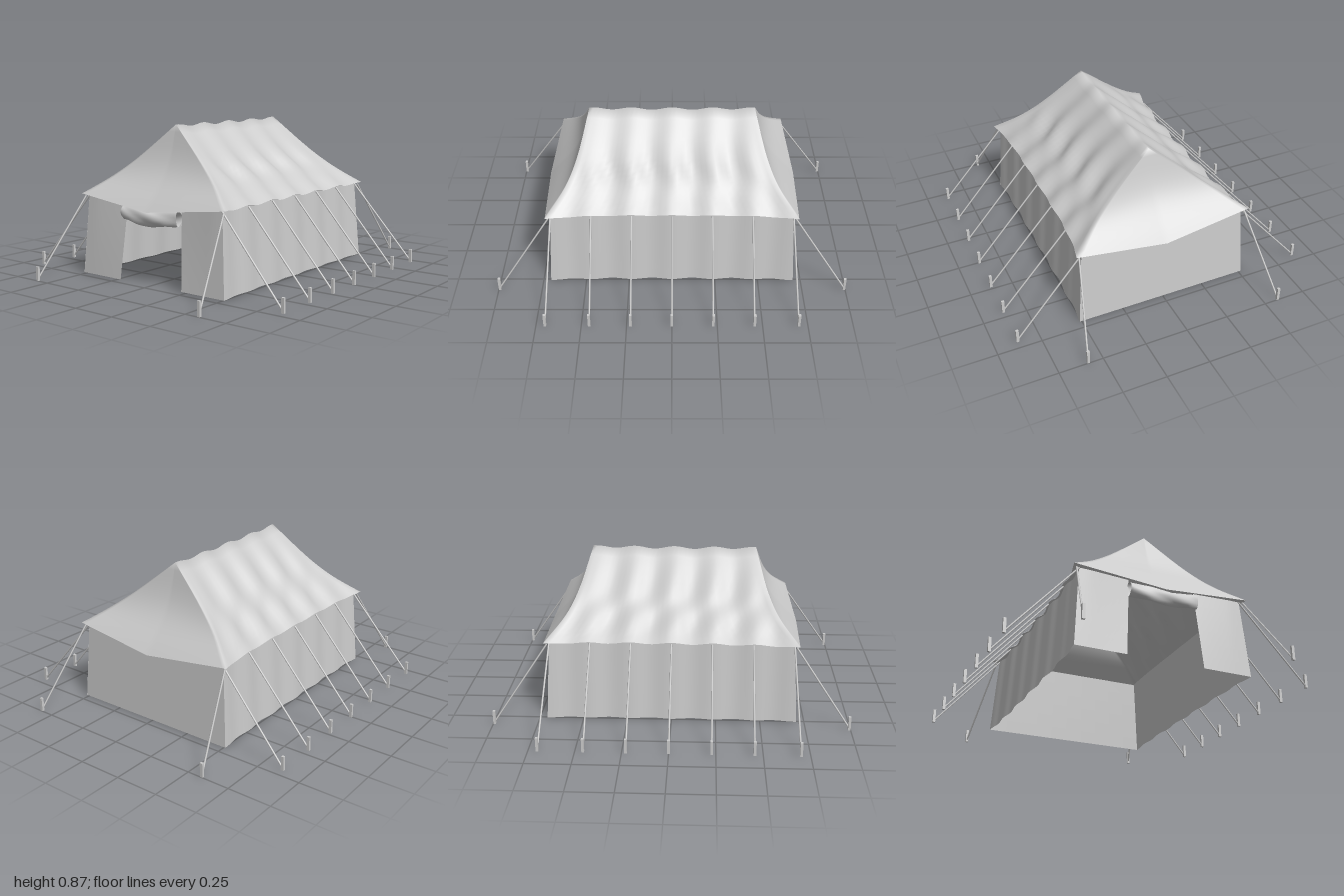
import * as THREE from 'three';
import { mergeVertices } from 'three/addons/utils/BufferGeometryUtils.js';

const canvas = new THREE.MeshStandardMaterial({ color: 0xcccccc, side: THREE.DoubleSide });
const solid = new THREE.MeshStandardMaterial({ color: 0xcccccc });
const PITCH = 0.7 / 3; // spacing of the guy ropes

// 0 at each rope, 1 halfway between two ropes
const sag = (z) => (1 - Math.cos((2 * Math.PI * z) / PITCH)) / 2;

// Smooth cloth from a rule f(u, v) -> [x, y, z]
function sheet(name, nu, nv, f) {
  const pos = [], index = [];
  for (let j = 0; j <= nv; j++)
    for (let i = 0; i <= nu; i++) pos.push(...f(i / nu, j / nv));
  for (let j = 0; j < nv; j++)
    for (let i = 0; i < nu; i++) {
      const a = j * (nu + 1) + i, b = a + 1, c = a + nu + 1, d = c + 1;
      index.push(a, c, b, b, c, d);
    }
  let geo = new THREE.BufferGeometry();
  geo.setAttribute('position', new THREE.Float32BufferAttribute(pos, 3));
  geo.setIndex(index);
  geo = mergeVertices(geo, 1e-4);
  geo.computeVertexNormals();
  const mesh = new THREE.Mesh(geo, canvas);
  mesh.name = name;
  return mesh;
}

// Hipped roof: rectangular rings growing from the ridge line down to the eaves
function makeRoof() {
  // each point holds half width, height and half length of a ring
  const profile = new THREE.CatmullRomCurve3([
    new THREE.Vector3(0, 0.872, 0.475),
    new THREE.Vector3(0.235, 0.675, 0.54),
    new THREE.Vector3(0.36, 0.572, 0.6),
    new THREE.Vector3(0.483, 0.467, 0.705),
  ]);
  return sheet('roof', 160, 15, (u, v) => {
    const { x: X, y: Y, z: Z } = profile.getPoint(v);
    const part = Math.min(Math.floor(u * 4), 3);
    const t = 1 - 2 * (u * 4 - part); // 1 to -1 along the current edge
    const flare = 0.036 * v ** 3;
    const belly = Math.sin(Math.PI * v);
    if (part % 2 === 0) { // long slopes
      const side = part === 0 ? 1 : -1;
      const z = side * t * Z;
      const fade = 1 - t ** 6;
      const s = sag(z) * fade;
      const fold = belly * fade * (0.008 * s + 0.01 * Math.sin(13 * z + 5 * v + side) ** 2);
      const x = X + flare * t ** 4 - 0.013 * v * s - fold;
      return [side * x, Y - 0.016 * s - fold * 0.7, z];
    }
    // hip ends, drooping towards the middle of the eave
    const end = part === 1 ? -1 : 1;
    const middle = 1 - Math.abs(t);
    return [
      -end * t * (X + flare),
      Y - 0.056 * middle * v ** 4,
      end * (Z + 0.027 * middle * v ** 3 - 0.012 * belly * middle),
    ];
  });
}

// Long wall with shallow scallops between the ropes
const sideWall = (side) =>
  sheet('sideWall', 60, 6, (u, v) => {
    const t = side * (1 - 2 * u);
    const z = t * (0.68 + 0.026 * v);
    const s = sag(z) * (1 - t ** 8);
    const x = 0.473 + 0.01 * t ** 4 + 0.03 * v - 0.012 * s;
    return [side * x, (0.462 - 0.012 * s) * (1 - v) + 0.004 * v, z];
  });

// Upright end panel between two x positions given at the top and the bottom
const endPanel = (name, z, top, bottom, curl) =>
  sheet(name, 10, 6, (u, v) => {
    const x = THREE.MathUtils.lerp(
      THREE.MathUtils.lerp(top[0], top[1], u),
      THREE.MathUtils.lerp(bottom[0], bottom[1], u), v);
    const inward = curl * Math.max(0, 1 - Math.abs(x) / 0.42) * (1 - v);
    return [x, 0.455 * (1 - v) + 0.004, Math.sign(z) * (Math.abs(z) + 0.025 * v - inward)];
  });

// Door cloth rolled up below the front eave
const doorRoll = () =>
  sheet('rolledDoor', 24, 16, (u, v) => {
    const t = 2 * u - 1;
    const a = v * Math.PI * 2;
    const r = 1 + 0.12 * Math.sin(3 * a + 5 * t);
    return [
      t * 0.2,
      0.392 - 0.018 * (1 - t * t) + r * 0.04 * Math.sin(a),
      0.69 + 0.015 * (1 - t * t) + r * 0.026 * Math.cos(a),
    ];
  });

// Taut rope from the eave to the foot of a stake
function makeGuy(from, foot) {
  const guy = new THREE.Group();
  guy.name = 'guyLine';
  const a = new THREE.Vector3(...from), b = new THREE.Vector3(...foot);
  const rope = new THREE.Mesh(
    new THREE.CylinderGeometry(0.005, 0.005, a.distanceTo(b), 6), solid);
  rope.name = 'rope';
  rope.position.addVectors(a, b).multiplyScalar(0.5);
  rope.quaternion.setFromUnitVectors(
    new THREE.Vector3(0, 1, 0), new THREE.Vector3().subVectors(a, b).normalize());
  const stake = new THREE.Mesh(new THREE.BoxGeometry(0.016, 0.08, 0.014), solid);
  stake.name = 'stake';
  stake.position.set(b.x, 0.04, b.z);
  guy.add(rope, stake);
  return guy;
}

export function createModel() {
  const tent = new THREE.Group();
  tent.name = 'tent';
  tent.add(makeRoof(), doorRoll());

  // walls
  tent.add(endPanel('backWall', -0.68, [0.483, -0.483], [0.513, -0.513], 0));
  for (const side of [1, -1]) {
    tent.add(sideWall(side));
    const top = [-0.483, -0.19], bottom = [-0.513, -0.222];
    tent.add(side < 0
      ? endPanel('frontPanel', 0.68, top, bottom, 0.03)
      : endPanel('frontPanel', 0.68, [0.2, 0.483], [0.225, 0.513], 0.03));

    // side guy lines, the outer ones splayed
    for (let i = -3; i <= 3; i++) {
      const zTop = i * 0.2265;
      const zFoot = Math.abs(i) === 3 ? Math.sign(i) * 0.7 : i * 0.228;
      tent.add(makeGuy([side * 0.482, 0.458, zTop], [side * 0.872, 0.01, zFoot]));
    }
    // corner guy lines running out past the ends
    for (const end of [1, -1])
      tent.add(makeGuy([side * 0.5, 0.455, end * 0.69], [side * 0.583, 0.01, end * 0.993]));
  }
  return tent;
}
